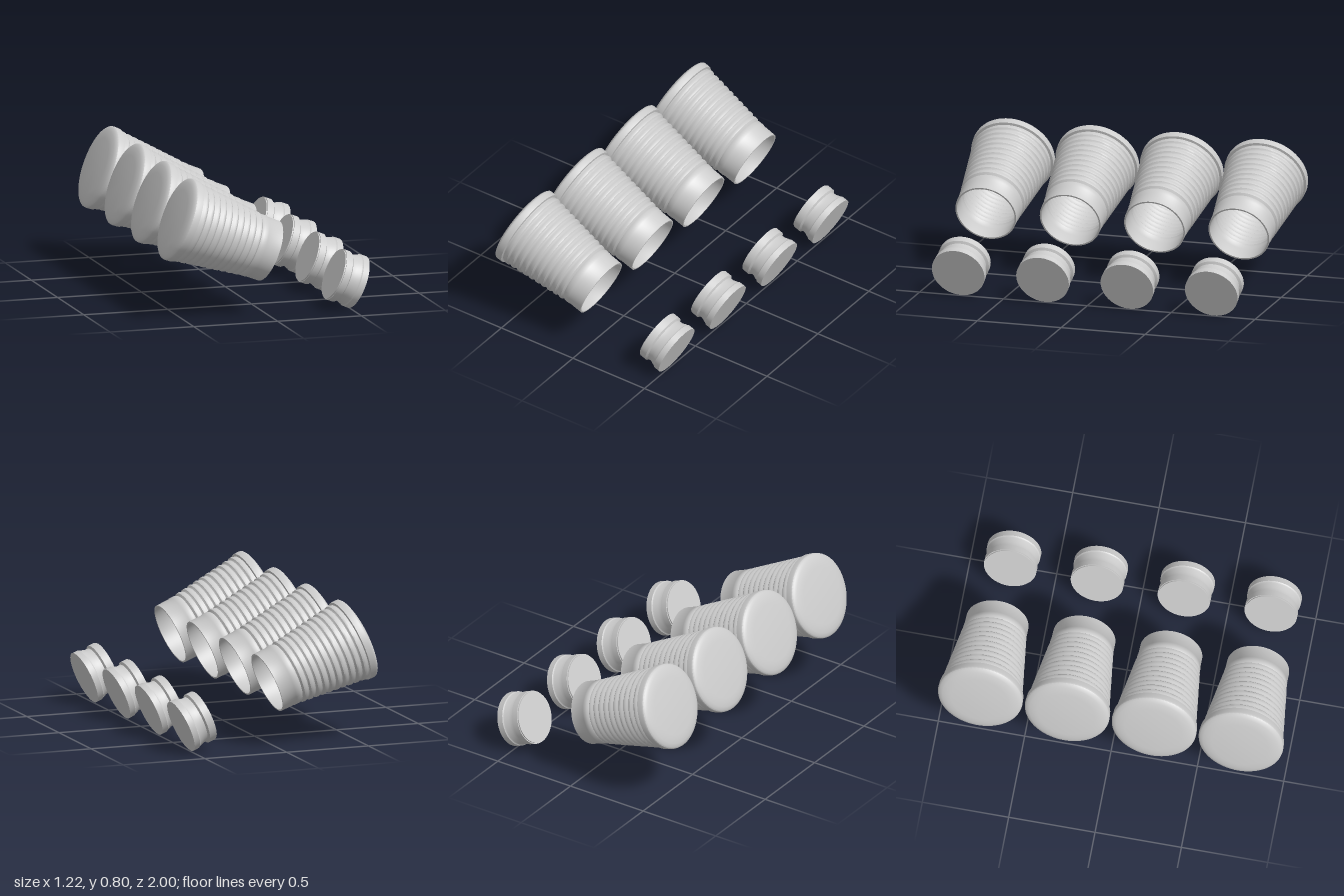
import * as THREE from 'three';
import { toCreasedNormals } from 'three/addons/utils/BufferGeometryUtils.js';

const SEGMENTS = 72;
const TILT = THREE.MathUtils.degToRad(-112); // turns the lathe axis towards +x and slightly down
const PITCH = 0.041;
const RIDGES = 10;

function lathe(profile, crease) {
  const points = profile.map(([r, s]) => new THREE.Vector2(r, s));
  return toCreasedNormals(new THREE.LatheGeometry(points, SEGMENTS), crease);
}

// Ribbed wall tapering from the base to the neck, as [radius, position]
function ribbedWall(offset) {
  const wall = [];
  for (let i = 0; i < RIDGES; i++) {
    for (const [t, h] of [[0, 0], [0.25, 0.003], [0.45, 0.008], [0.75, 0.008], [0.9, 0.002]]) {
      const k = (i + t) / RIDGES;
      wall.push([0.229 - 0.049 * k + h - offset, -0.54 + PITCH * RIDGES * k]);
    }
  }
  return wall;
}

function cupGeometry() {
  const outer = [
    [0, -0.607], [0.165, -0.607], [0.19, -0.604], [0.215, -0.599], [0.234, -0.592],
    [0.243, -0.584], [0.245, -0.574], [0.243, -0.543],
    ...ribbedWall(0),
    [0.178, -0.13], [0.184, -0.118], [0.184, -0.09], [0.181, -0.085], [0.18, 0],
  ];
  const inner = [
    [0.171, 0], [0.172, -0.085], [0.175, -0.09], [0.175, -0.118], [0.169, -0.13],
    ...ribbedWall(0.009).reverse(),
    [0.228, -0.548], [0.23, -0.575], [0.215, -0.588], [0, -0.595],
  ];
  return lathe([...outer, ...inner], 0.65);
}

function plugGeometry() {
  return lathe([
    [0, -0.15], [0.147, -0.15], [0.147, -0.143], [0.152, -0.143], [0.152, -0.104], [0.139, -0.095],
    [0.14, -0.072], [0.148, -0.052], [0.15, -0.042], [0.155, -0.036], [0.156, 0], [0, 0],
  ], 0.5);
}

export function createModel() {
  const model = new THREE.Group();
  const grey = new THREE.MeshStandardMaterial({ color: 0xcccccc });
  grey.name = 'light grey';
  const cup = cupGeometry();
  const plug = plugGeometry();

  // Four identical cups in a row, each with its plug in front of the mouth
  const place = (geometry, name, x, y, z) => {
    const mesh = new THREE.Mesh(geometry, grey);
    mesh.name = name;
    mesh.position.set(x, y, z);
    mesh.rotation.z = TILT;
    model.add(mesh);
  };
  for (let i = 0; i < 4; i++) {
    const z = (i - 1.5) * 0.503;
    place(cup, 'ribbedCup' + (i + 1), 0.0225, 0.3625, z);
    place(plug, 'plug' + (i + 1), 0.55, 0.147, z);
  }
  return model;
}
